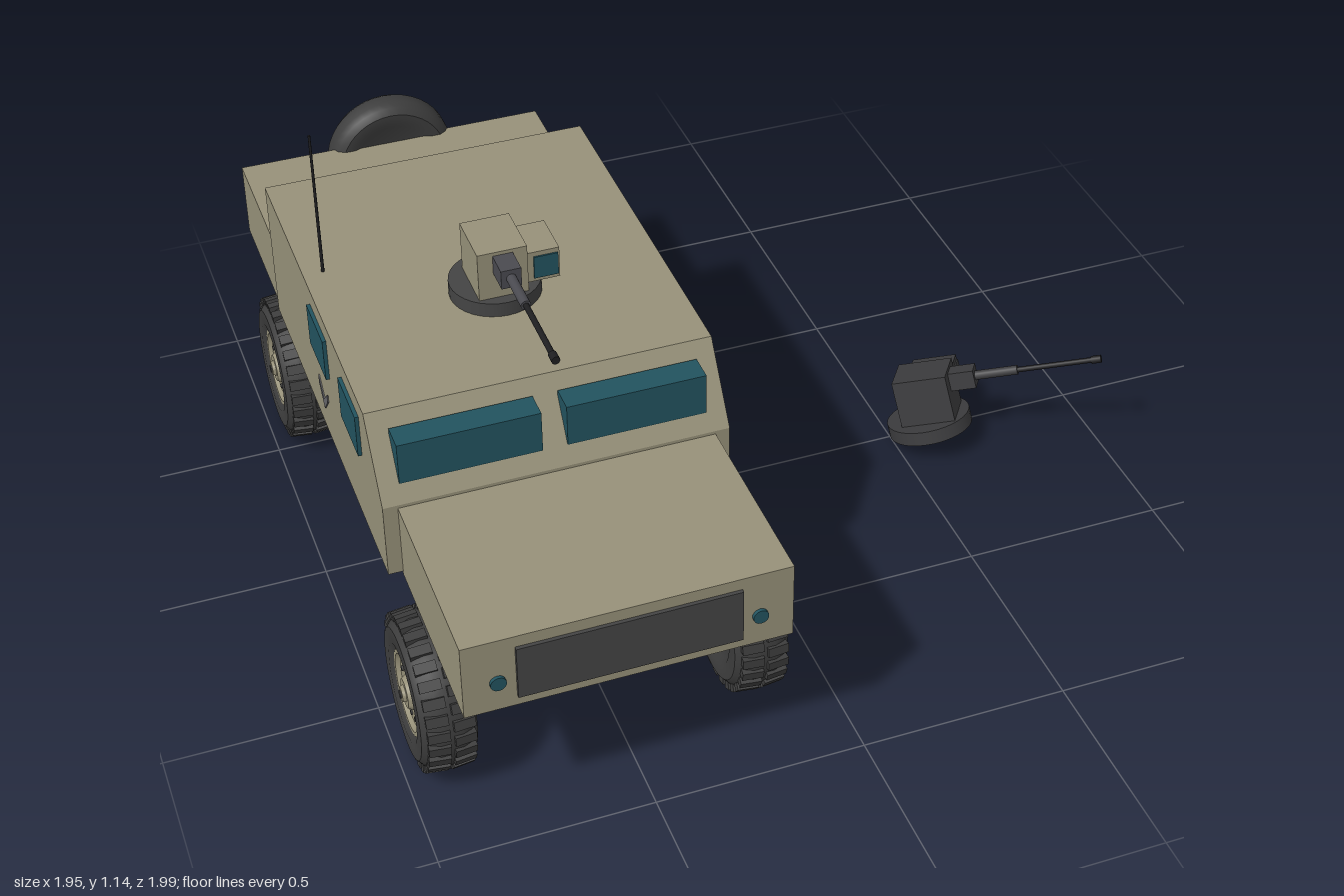
import * as THREE from 'three';
import { toCreasedNormals } from 'three/addons/utils/BufferGeometryUtils.js';

const mat = (name, color) => {
  const m = new THREE.MeshStandardMaterial({ color });
  m.name = name;
  return m;
};

export function createModel() {
  const tan = mat('sandPaint', 0x979179);
  const rubber = mat('tyreRubber', 0x3d3d3d);
  const glass = mat('tealGlass', 0x22535f);
  const grey = mat('darkGrey', 0x444444);
  const metal = mat('gunMetal', 0x4a4a50);
  const black = mat('black', 0x1e1e20);
  const mark = mat('markGrey', 0x66666a);
  const charred = mat('charred', 0x3c3c3e);

  const add = (parent, name, geo, material) => {
    const m = new THREE.Mesh(geo, material);
    m.name = name;
    parent.add(m);
    return m;
  };
  const group = (parent, name) => {
    const g = new THREE.Group();
    g.name = name;
    parent.add(g);
    return g;
  };
  // box given by its min and max along each axis
  const box = (parent, name, material, x0, x1, y0, y1, z0, z1) => {
    const m = add(parent, name, new THREE.BoxGeometry(x1 - x0, y1 - y0, z1 - z0), material);
    m.position.set((x0 + x1) / 2, (y0 + y1) / 2, (z0 + z1) / 2);
    return m;
  };
  // side profile of [z, y] points, extruded across x and centred
  const profile = (pts, width) => {
    const shape = new THREE.Shape(pts.map(p => new THREE.Vector2(...p)));
    const g = new THREE.ExtrudeGeometry(shape, { depth: width, bevelEnabled: false });
    return g.rotateY(-Math.PI / 2).translate(width / 2, 0, 0);
  };
  const lathe = (pts, segs = 40) => toCreasedNormals(
    new THREE.LatheGeometry(pts.map(p => new THREE.Vector2(...p)), segs), 0.6);
  // cylinder along z from z0 to z1
  const rod = (parent, name, material, r, y, z0, z1) => {
    const m = add(parent, name, new THREE.CylinderGeometry(r, r, z1 - z0, 14).rotateX(Math.PI / 2), material);
    m.position.set(0, y, (z0 + z1) / 2);
    return m;
  };

  const model = new THREE.Group();
  model.name = 'armouredCar';
  const car = group(model, 'vehicle');
  car.position.x = -0.546;

  // hull
  add(car, 'cabin', profile([[-0.555, 0.4], [0.508, 0.4], [0.508, 0.59], [0.39, 0.766], [-0.555, 0.766]], 0.808), tan);
  box(car, 'hood', tan, -0.37, 0.37, 0.389, 0.582, 0.505, 0.985);
  box(car, 'rearBed', tan, -0.396, 0.396, 0.4, 0.594, -0.928, -0.55);
  add(car, 'chassis', profile([[-0.53, 0.2], [0.6, 0.2], [0.925, 0.372], [-0.83, 0.372]], 0.555), tan);
  box(car, 'grille', grey, -0.252, 0.252, 0.416, 0.553, 0.98, 0.994);

  // details on both sides
  for (const s of [-1, 1]) {
    const lamp = rod(car, 'headlight', glass, 0.018, 0.467, 0.98, 0.993);
    lamp.position.x = s * 0.293;
    const tail = box(car, 'tailLight', grey, -0.029, 0.029, 0.43, 0.465, -0.936, -0.925);
    tail.position.x = s * 0.341;
    const shield = box(car, 'windshield', glass, -0.164, 0.164, 0.63, 0.735, 0.42, 0.485);
    shield.position.x = s * 0.193;
    for (const z of [0.262, -0.033]) {
      const win = box(car, 'sideWindow', glass, -0.006, 0.006, 0.611, 0.72, z - 0.077, z + 0.077);
      win.position.x = s * 0.407;
    }
    const chevron = add(car, 'chevronMark', profile([[0.002, 0.535], [-0.04, 0.493], [-0.082, 0.535],
      [-0.082, 0.512], [-0.04, 0.465], [0.002, 0.512]].reverse(), 0.004), mark);
    chevron.position.x = s * 0.405;
  }

  // tyre built around y, outer face towards +y
  const tyreGeo = (r, w, hub) => {
    const h = w / 2;
    return lathe([[0, -h * 0.85], [hub, -h * 0.85], [hub * 1.15, -h], [r * 0.85, -h], [r * 0.95, -h * 0.75],
      [r, -h * 0.4], [r, h * 0.4], [r * 0.95, h * 0.75], [r * 0.85, h], [hub * 1.15, h], [hub, h * 0.85], [hub, 0]]);
  };
  const R = 0.187, W = 0.128, HUB = 0.1;
  const wheelTyre = tyreGeo(R - 0.008, W, HUB);
  const lugGeo = new THREE.BoxGeometry(0.02, 0.05, 0.024);
  const rimGeo = lathe([[HUB, 0.03], [HUB, 0.056], [0.09, 0.056], [0.082, 0.046], [0.042, 0.046],
    [0.034, 0.06], [0.02, 0.06], [0.017, 0.068], [0, 0.068]], 32);
  const holeGeo = new THREE.CylinderGeometry(0.006, 0.006, 0.008, 8);

  const LUGS = 28, BOLTS = 10;
  const makeWheel = () => {
    const wheel = group(car, 'wheel');
    add(wheel, 'tyre', wheelTyre, rubber);
    add(wheel, 'rim', rimGeo, tan);
    const cap = add(wheel, 'hubCap', new THREE.CylinderGeometry(0.01, 0.01, 0.006, 12), grey);
    cap.position.y = 0.068;
    // two staggered rows of tread blocks
    for (let i = 0; i < LUGS * 2; i++) {
      const a = (i * Math.PI) / LUGS, side = i % 2 ? 1 : -1;
      const lug = add(wheel, 'treadBlock', lugGeo, rubber);
      lug.position.set(Math.cos(a) * (R - 0.012), side * 0.029, Math.sin(a) * (R - 0.012));
      lug.rotation.set(0, -a, side * 0.1);
    }
    for (let i = 0; i < BOLTS; i++) {
      const a = (i / BOLTS) * Math.PI * 2;
      const bolt = add(wheel, 'wheelBolt', holeGeo, grey);
      bolt.position.set(Math.cos(a) * 0.062, 0.046, Math.sin(a) * 0.062);
    }
    return wheel;
  };

  // axles and wheels
  for (const z of [0.665, -0.6]) {
    const axle = add(car, 'axle', new THREE.CylinderGeometry(0.022, 0.022, 0.66, 16).rotateZ(Math.PI / 2), metal);
    axle.position.set(0, 0.189, z);
    for (const s of [-1, 1]) {
      const wheel = makeWheel();
      wheel.position.set(s * 0.365, 0.187, z);
      wheel.rotation.z = -s * Math.PI / 2;
    }
  }

  // spare wheel on the tail
  const spare = group(car, 'spareWheel');
  spare.position.set(0, 0.54, -0.95);
  spare.rotation.x = -Math.PI / 2;
  add(spare, 'spareTyre', tyreGeo(0.163, 0.092, 0.1), rubber);
  const disc = add(spare, 'spareHub', new THREE.CylinderGeometry(0.1, 0.1, 0.04, 32), tan);
  disc.position.y = 0.018;

  // whip antenna
  const antenna = add(car, 'antenna', new THREE.CylinderGeometry(0.003, 0.004, 0.38, 8), black);
  antenna.position.set(-0.356, 0.95, -0.163);

  // remote gun station, with its origin in the middle of the ring
  const makeStation = (name, paint, ringMat, lensMat, gunMat) => {
    const g = group(model, name);
    add(g, 'turretRing', new THREE.CylinderGeometry(0.108, 0.108, 0.036, 32), ringMat);
    box(g, 'gunHousing', paint, -0.06, 0.058, 0.018, 0.142, -0.06, 0.08);
    box(g, 'sensorBox', paint, 0.058, 0.135, 0.037, 0.117, -0.04, 0.075);
    box(g, 'sensorLens', lensMat, 0.073, 0.131, 0.047, 0.105, 0.073, 0.079);
    box(g, 'gunReceiver', gunMat, -0.024, 0.024, 0.085, 0.133, 0.078, 0.145);
    rod(g, 'barrelJacket', gunMat, 0.012, 0.11, 0.145, 0.255);
    rod(g, 'barrel', black, 0.007, 0.11, 0.255, 0.45);
    rod(g, 'muzzle', black, 0.01, 0.11, 0.445, 0.47);
    return g;
  };
  makeStation('gunStation', tan, grey, glass, metal).position.set(-0.546, 0.784, 0.046);

  // burnt-out station lying beside the vehicle
  const wreck = makeStation('wreckedGunStation', charred, charred, charred, charred);
  const forward = new THREE.Vector3(0.829, 0.286, 0.481).normalize();
  const side = new THREE.Vector3(-0.138, 0.937, -0.319).cross(forward).normalize();
  const up = forward.clone().cross(side);
  wreck.quaternion.setFromRotationMatrix(new THREE.Matrix4().makeBasis(side, up, forward));
  wreck.position.set(0.59, 0.06, 0.044);

  return model;
}
